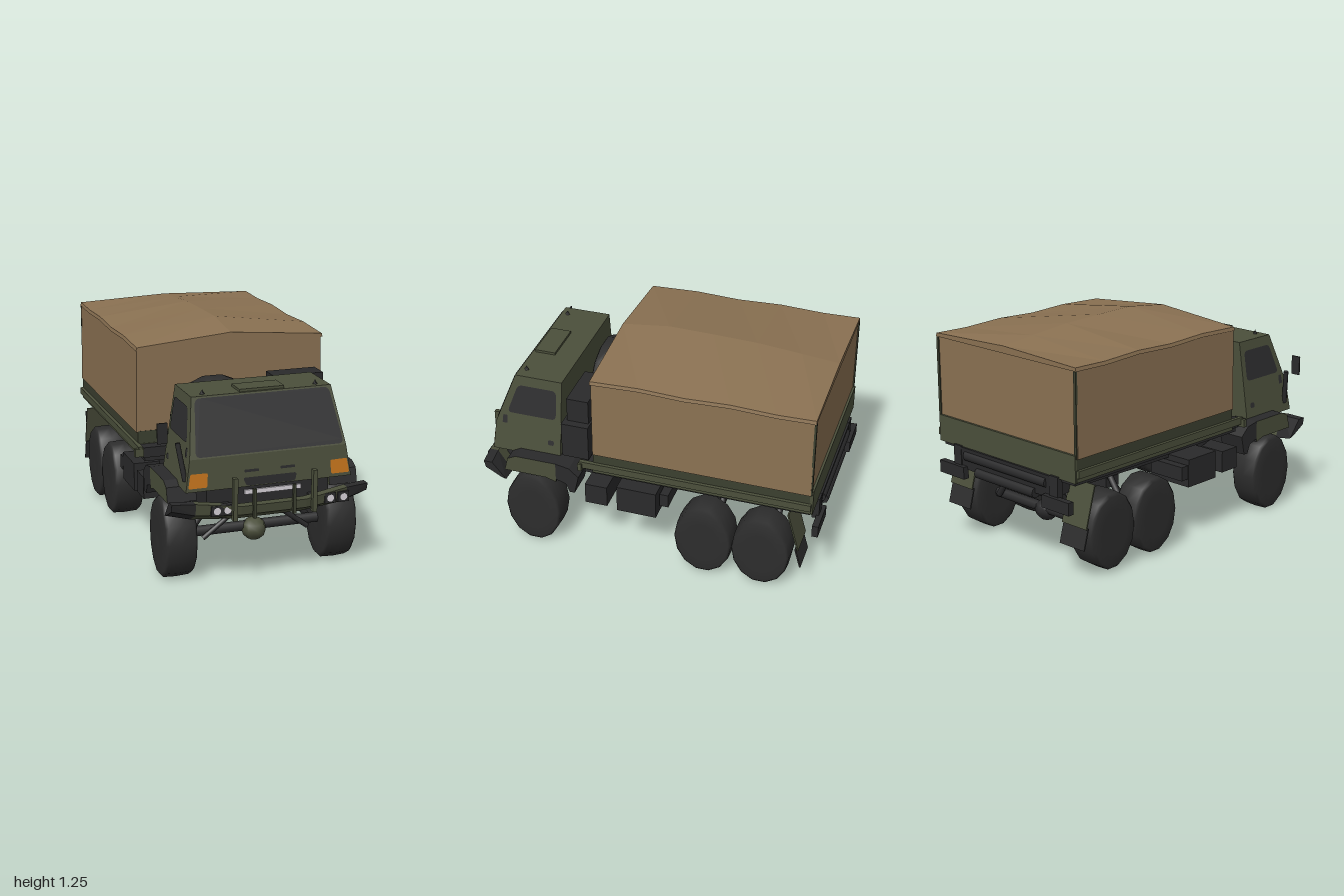
import * as THREE from 'three';

const mat = (name, color) => {
  const m = new THREE.MeshStandardMaterial({ color, side: THREE.DoubleSide });
  m.name = name;
  return m;
};

export function createModel() {
  const root = new THREE.Group();
  root.name = 'cargoTruck';
  const canvas = mat('tan canvas', 0x8a7152);
  const olive = mat('olive paint', 0x4b4f3b);
  const darkOlive = mat('dark olive paint', 0x3b3f2f);
  const rubber = mat('tyre rubber', 0x2d2d2d);
  const metal = mat('dark metal', 0x2a2a2b);
  const glass = mat('dark glass', 0x2e2e2f);
  const orange = mat('orange lamp', 0xc4741c);
  const white = mat('white lamp', 0xd6d2d8);

  const add = (name, geo, material, x = 0, y = 0, z = 0) => {
    const m = new THREE.Mesh(geo, material);
    m.name = name;
    m.position.set(x, y, z);
    root.add(m);
    return m;
  };
  // Box given by its limits on each axis
  const box = (name, material, x0, x1, y0, y1, z0, z1) =>
    add(name, new THREE.BoxGeometry(x1 - x0, y1 - y0, z1 - z0), material, (x0 + x1) / 2, (y0 + y1) / 2, (z0 + z1) / 2);
  // Round rod between two points
  const rod = (name, material, a, b, r, sides = 8) => {
    const p = new THREE.Vector3(...a), q = new THREE.Vector3(...b);
    const m = add(name, new THREE.CylinderGeometry(r, r, p.distanceTo(q), sides), material);
    m.position.copy(p).lerp(q, 0.5);
    m.quaternion.setFromUnitVectors(new THREE.Vector3(0, 1, 0), q.sub(p).normalize());
    return m;
  };
  // Faceted solid through matching cross-sections, wound outwards
  const loft = (rings) => {
    const tris = [], n = rings[0].length, last = rings.length - 1;
    for (let i = 0; i < last; i++) for (let j = 0; j < n; j++) {
      const k = (j + 1) % n, a = rings[i][j], b = rings[i][k], c = rings[i + 1][k], d = rings[i + 1][j];
      tris.push([a, b, c], [a, c, d]);
    }
    for (let j = 1; j < n - 1; j++) {
      tris.push([rings[0][0], rings[0][j + 1], rings[0][j]], [rings[last][0], rings[last][j], rings[last][j + 1]]);
    }
    let volume = 0;
    for (const [a, b, c] of tris) {
      volume += new THREE.Vector3(...a).dot(new THREE.Vector3(...b).cross(new THREE.Vector3(...c)));
    }
    if (volume < 0) tris.forEach((t) => t.reverse());
    const g = new THREE.BufferGeometry();
    g.setAttribute('position', new THREE.Float32BufferAttribute(tris.flat(2), 3));
    g.computeVertexNormals();
    return g;
  };
  // Flat outline with softened corners
  const outline = (pts, r = 0.03) => {
    const s = new THREE.Shape(), v = pts.map((p) => new THREE.Vector2(...p)), n = v.length;
    v.forEach((p, i) => {
      const a = v[(i + n - 1) % n].clone().sub(p).setLength(r).add(p);
      const b = v[(i + 1) % n].clone().sub(p).setLength(r).add(p);
      if (i) s.lineTo(a.x, a.y); else s.moveTo(a.x, a.y);
      s.quadraticCurveTo(p.x, p.y, b.x, b.y);
    });
    s.closePath();
    return s;
  };
  const bend = (geo, rule) => {
    const p = geo.attributes.position;
    for (let i = 0; i < p.count; i++) p.setXYZ(i, ...rule(p.getX(i), p.getY(i), p.getZ(i)));
    geo.computeVertexNormals();
    return geo;
  };

  // Cab, leaning in towards the roof
  const halfWidth = (y) => 0.46 - (y - 0.55) * 0.153;
  const noseZ = (y) => (y < 0.72 ? 0.905 - (y - 0.55) * 0.088 : 0.89 - (y - 0.72) * 0.383);
  const cabRing = (y) => [[-halfWidth(y), y, 0.5], [halfWidth(y), y, 0.5], [halfWidth(y), y, noseZ(y)], [-halfWidth(y), y, noseZ(y)]];
  add('cab', loft([0.55, 0.72, 1.02].map(cabRing)), olive);
  const onNose = (name, pts, material, r) =>
    add(name, bend(new THREE.ShapeGeometry(outline(pts, r)), (x, y) => [x, y, noseZ(y) + 0.005]), material);
  onNose('windshield', [[-0.402, 0.728], [0.42, 0.728], [0.372, 1.012], [-0.372, 1.012]], glass);
  onNose('grille', [[-0.13, 0.556], [0.14, 0.556], [0.15, 0.6], [-0.15, 0.6]], metal, 0.015);
  for (const s of [-1, 1]) {
    onNose('headlight', [[s * 0.345, 0.57], [s * 0.448, 0.57], [s * 0.435, 0.647], [s * 0.34, 0.645]], orange, 0.01);
    onNose('noseVent', [[s * 0.06, 0.628], [s * 0.14, 0.628], [s * 0.14, 0.642], [s * 0.06, 0.642]], metal, 0.003);
    const onSide = (name, pts, r) =>
      add(name, bend(new THREE.ShapeGeometry(outline(pts, r)), (z, y) => [s * (halfWidth(y) + 0.004), y, z]), glass);
    onSide('sideWindow', [[0.53, 0.79], [0.82, 0.79], [0.757, 0.965], [0.53, 0.965]], 0.03);
    onSide('doorHandle', [[0.54, 0.63], [0.575, 0.63], [0.575, 0.66], [0.54, 0.66]], 0.01);
    onSide('doorHinge', [[0.82, 0.72], [0.85, 0.72], [0.845, 0.77], [0.82, 0.77]], 0.004);
    add('roofMarker', new THREE.ConeGeometry(0.017, 0.03, 4), metal, s * 0.315, 1.03, 0.735);

    // Front wing with painted flanks and dark tread, and its rear flap
    const wing = (name, pts, material) => {
      const shape = new THREE.Shape(pts.map((p) => new THREE.Vector2(...p)));
      const g = new THREE.ExtrudeGeometry(shape, { depth: 0.16, bevelEnabled: false });
      g.rotateY(-Math.PI / 2);
      add(name, g, material, s > 0 ? 0.54 : -0.37, 0, 0);
    };
    wing('frontWing', [[0.81, 0.47], [0.79, 0.55], [0.74, 0.575], [0.5, 0.575], [0.5, 0.45], [0.56, 0.47], [0.74, 0.47]], [olive, metal]);
    wing('wingFlap', [[0.5, 0.575], [0.42, 0.56], [0.365, 0.51], [0.39, 0.4], [0.42, 0.4], [0.44, 0.45], [0.5, 0.47]], metal);
  }
  box('roofHatch', olive, -0.12, 0.13, 1.02, 1.034, 0.64, 0.76);
  box('cabUnderside', metal, -0.34, 0.34, 0.4, 0.55, 0.46, 0.88);
  box('whiteBar', white, -0.135, 0.18, 0.503, 0.527, 0.885, 0.895);
  box('mirror', metal, -0.585, -0.53, 0.8, 0.91, 0.815, 0.823);
  rod('mirrorArm', metal, [-0.45, 0.6, 0.86], [-0.48, 0.8, 0.83], 0.014);

  // Bowed bumper with dark ends, lamps and guard posts
  const bumperRing = ([x, y0, y1, z]) => [[x, y0 + 0.02, z], [x, y1, z + 0.01], [x, y1, z - 0.04], [x, y0 - 0.04, z - 0.12], [x, y0 - 0.03, z - 0.09]];
  const bumperLine = [[-0.42, 0.415, 0.5, 0.94], [-0.18, 0.4, 0.47, 0.965], [0.18, 0.4, 0.47, 0.965], [0.42, 0.415, 0.5, 0.94]];
  add('bumper', loft(bumperLine.map(bumperRing)), olive);
  for (const s of [-1, 1]) {
    add('bumperEnd', loft([[s * 0.42, 0.415, 0.5, 0.94], [s * 0.545, 0.445, 0.505, 0.925]].map(bumperRing)), metal);
    box('bumperBracket', metal, s * 0.25 - 0.03, s * 0.25 + 0.03, 0.4, 0.47, 0.82, 0.92);
    box('tallGuardPost', olive, s * 0.22 - 0.012, s * 0.22 + 0.012, 0.4, 0.63, 0.965, 0.995);
    box('shortGuardPost', darkOlive, s * 0.11 - 0.008, s * 0.11 + 0.008, 0.4, 0.56, 0.965, 0.985);
  }
  for (const x of [-0.31, -0.253, 0.32, 0.395]) {
    box('lampHousing', metal, x - 0.032, x + 0.032, 0.427, 0.483, 0.93, 0.963);
    add('lamp', new THREE.CircleGeometry(0.02, 10), white, x, 0.455, 0.966);
  }

  // Wheels: squat lathed tyres
  const tyreProfile = [[0, -0.085], [0.13, -0.086], [0.205, -0.084], [0.222, -0.07], [0.226, 0], [0.222, 0.07], [0.205, 0.084], [0.13, 0.086], [0, 0.085]];
  const tyre = new THREE.LatheGeometry(tyreProfile.map((p) => new THREE.Vector2(...p)), 14);
  tyre.rotateZ(Math.PI / 2);
  for (const [z, y, k] of [[0.65, 0.23, 1.01], [-0.36, 0.237, 0.97], [-0.69, 0.237, 0.97]]) {
    for (const s of [-1, 1]) {
      add('wheel', tyre, rubber, s * 0.455 + 0.006, y, z).scale.set(1.02, k, 0.74);
      rod('suspensionStrut', metal, [s * 0.33, 0.24, z - 0.04], [s * 0.19, 0.44, z - 0.04], 0.018);
      rod('suspensionArm', metal, [s * 0.3, 0.21, z + 0.05], [s * 0.1, 0.36, z + 0.05], 0.014);
    }
    rod('axle', metal, [-0.38, 0.235, z], [0.38, 0.235, z], 0.03);
    add('differential', new THREE.SphereGeometry(0.07, 8, 6), z > 0 ? olive : metal, 0, 0.222, z + 0.02).scale.y = 0.9;
    box('axleMount', metal, -0.2, 0.2, 0.32, 0.38, z - 0.05, z + 0.05);
  }
  rod('driveShaft', metal, [0, 0.38, 0.5], [0, 0.36, -0.3], 0.025);
  rod('rearDriveShaft', metal, [0, 0.25, -0.36], [0, 0.25, -0.69], 0.025);

  // Chassis, tanks and lockers
  for (const s of [-1, 1]) {
    box('chassisRail', metal, s * 0.19 - 0.03, s * 0.19 + 0.03, 0.42, 0.57, -0.97, 0.84);
    const x0 = s > 0 ? 0.24 : -0.52, x1 = x0 + 0.28;
    box('fuelTank', metal, x0, x1, 0.32, 0.48, -0.083, 0.147);
    box('locker', metal, x0, x1, 0.335, 0.46, 0.205, 0.335);
    box('airTank', metal, x0, x1 - 0.05, 0.37, 0.45, -0.14, -0.09);
    // Rear flaps and tail lamps
    const flap = box('rearFlap', olive, s * 0.45 - 0.09, s * 0.45 + 0.09, 0.3, 0.54, -0.873, -0.865);
    flap.rotation.x = 0.27;
    const tip = box('flapTip', rubber, s * 0.45 - 0.09, s * 0.45 + 0.09, 0.19, 0.31, -0.907, -0.899);
    tip.rotation.x = 0.27;
    box('tailLamp', metal, s * 0.41 - 0.1, s * 0.41 + 0.1, 0.4, 0.47, -1, -0.965);
    box('tailLampBracket', metal, s * 0.38 - 0.03, s * 0.38 + 0.03, 0.45, 0.58, -0.98, -0.94);
  }
  const frameRing = (x) => [[x, 0.575, 0.35], [x, 0.575, -0.98], [x, 0.45, -0.97], [x, 0.47, -0.78], [x, 0.46, 0.2], [x, 0.5, 0.35]];
  add('bedFrame', loft([frameRing(-0.37), frameRing(0.37)]), metal);
  box('bedUnderside', metal, -0.51, 0.52, 0.55, 0.578, -0.95, 0.33);
  rod('rearBar', metal, [-0.32, 0.53, -0.965], [0.32, 0.53, -0.965], 0.03);
  rod('lowerRearBar', metal, [-0.23, 0.45, -0.965], [0.23, 0.45, -0.965], 0.03);

  // Cargo bed with sideboards and a dark front ledge
  box('bedFloor', olive, -0.535, 0.545, 0.575, 0.635, -0.96, 0.275);
  box('frontLedge', metal, -0.52, 0.53, 0.575, 0.632, 0.275, 0.345);
  for (const x of [-0.537, 0.547]) box('bedEdge', olive, x - 0.012, x + 0.012, 0.6, 0.64, -0.96, 0.35);
  for (const s of [-1, 1]) box('ledgeBracket', olive, s * 0.545 - 0.025, s * 0.545 + 0.025, 0.585, 0.63, 0.332, 0.355);
  box('sideboards', darkOlive, -0.53, 0.54, 0.63, 0.705, -0.955, 0.272);
  box('tailgate', olive, -0.53, 0.54, 0.57, 0.72, -0.968, -0.95);

  // Canvas cover: walls, then a sagging ridged roof
  const stations = [[0.27, 1.222, 1.175], [0, 1.255, 1.185], [-0.25, 1.25, 1.175], [-0.5, 1.242, 1.185], [-0.75, 1.22, 1.175], [-0.955, 1.2, 1.18]];
  add('canvasWalls', loft(stations.map(([z, ridge, eave]) =>
    [[-0.538, 0.7, z], [-0.53, eave - 0.015, z], [0.005, ridge - 0.015, z], [0.542, eave - 0.015, z], [0.552, 0.7, z]])), canvas);
  add('canvasRoof', loft(stations.map(([z, ridge, eave], i) => {
    const e = i === 0 ? z + 0.004 : i === 5 ? z - 0.005 : z;
    return [[-0.535, eave - 0.02, e], [-0.53, eave, e], [0.005, ridge, e], [0.547, eave, e], [0.552, eave - 0.02, e], [0.005, ridge - 0.02, e]];
  })), canvas);
  for (const x of [-0.525, 0.54]) box('rearCornerSeam', darkOlive, x - 0.008, x + 0.008, 0.7, 1.16, -0.962, -0.95);

  // Spare wheel and equipment boxes behind the cab
  const spare = add('spareWheel', tyre, rubber, -0.12, 0.795, 0.38);
  spare.rotation.y = Math.PI / 2;
  spare.scale.set(0.75, 0.96, 1.1);
  box('spareCarrier', metal, -0.38, 0.15, 0.6, 0.7, 0.3, 0.42);
  box('equipmentBox', metal, 0.16, 0.535, 0.645, 0.855, 0.3, 0.455);
  box('airIntake', metal, 0.2, 0.49, 0.855, 0.995, 0.31, 0.435);

  return root;
}
